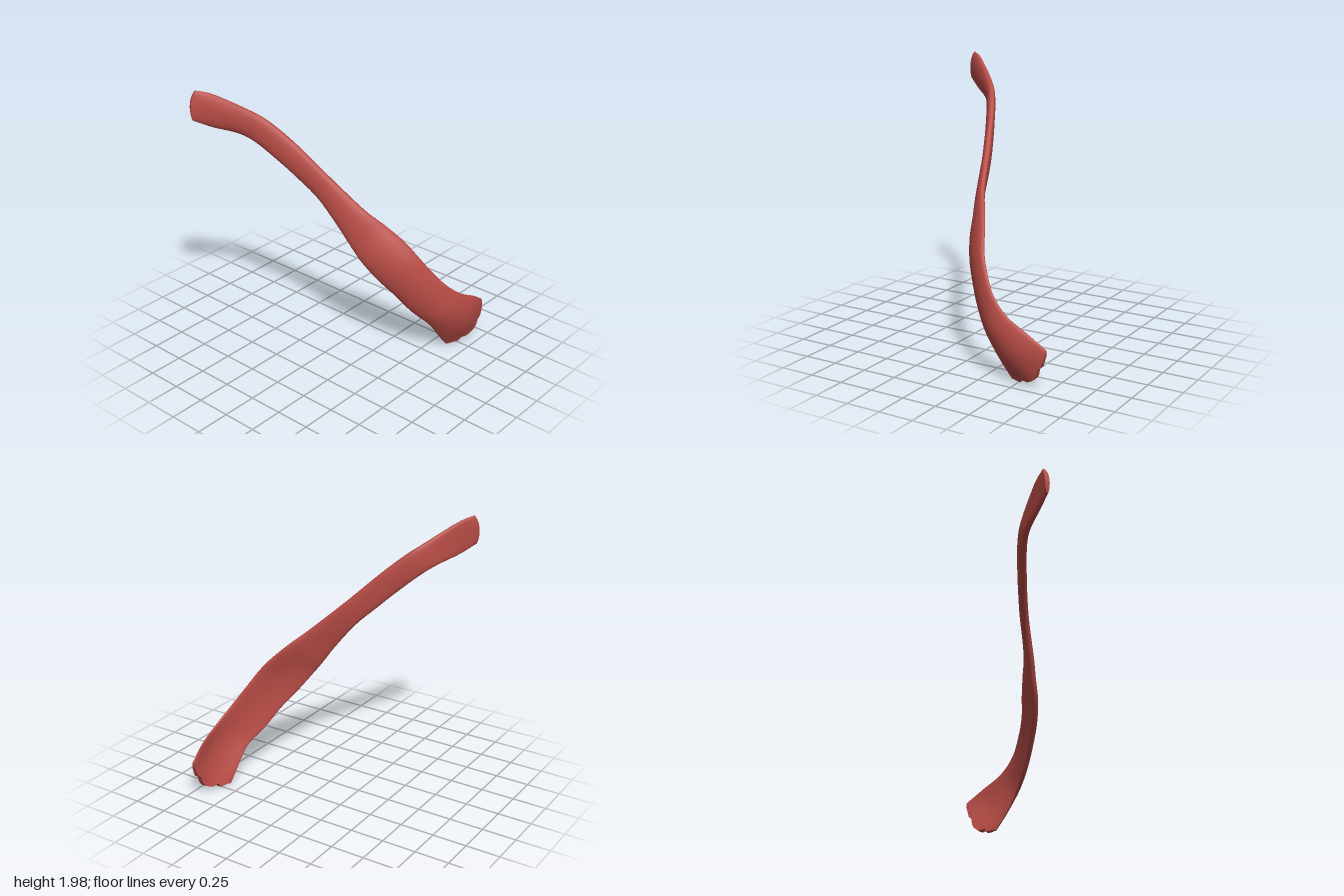
import * as THREE from 'three';

// Stations along the strap: upper edge, lower edge, [camber, half thickness, endwise bulge]
const stations = [
  [[-0.70, 2.00, -0.735], [-0.73, 1.79, -0.745], [0.0, 0.018, -0.025]],
  [[-0.60, 1.96, -0.66], [-0.62, 1.73, -0.67], [0.01, 0.026, 0]],
  [[-0.42, 1.83, -0.50], [-0.48, 1.67, -0.57], [0.008, 0.03, 0]],
  [[-0.34, 1.75, -0.40], [-0.40, 1.60, -0.48], [0.005, 0.032, 0]],
  [[-0.26, 1.62, -0.26], [-0.32, 1.47, -0.34], [0.005, 0.032, 0]],
  [[-0.20, 1.49, -0.13], [-0.26, 1.36, -0.23], [0.005, 0.032, 0]],
  [[-0.15, 1.38, -0.02], [-0.20, 1.22, -0.09], [0.005, 0.032, 0]],
  [[-0.05, 1.17, 0.20], [-0.16, 1.03, 0.06], [0.01, 0.032, 0]],
  [[0.03, 1.06, 0.32], [-0.135, 0.91, 0.14], [0.018, 0.032, 0]],
  [[0.10, 0.95, 0.43], [-0.11, 0.80, 0.22], [0.025, 0.032, 0]],
  [[0.15, 0.84, 0.52], [-0.05, 0.67, 0.31], [0.028, 0.032, 0]],
  [[0.21, 0.73, 0.585], [0.04, 0.53, 0.41], [0.03, 0.03, 0]],
  [[0.31, 0.59, 0.66], [0.13, 0.39, 0.49], [0.035, 0.028, 0]],
  [[0.44, 0.48, 0.70], [0.24, 0.26, 0.575], [0.05, 0.024, 0.01]],
  [[0.60, 0.39, 0.705], [0.34, 0.12, 0.595], [0.06, 0.022, 0.04]],
  [[0.73, 0.30, 0.69], [0.42, 0.02, 0.60], [0.035, 0.02, 0.09]],
];
const ROWS = 75, SIDES = 36;

const curveOf = k => new THREE.CatmullRomCurve3(
  stations.map(s => new THREE.Vector3(...s[k])), false, 'catmullrom', 0.5);

// Cross-section rings: a cambered lens between the two edges
function buildRings() {
  const [upper, lower, form] = [0, 1, 2].map(curveOf);
  const centre = t => upper.getPoint(t).add(lower.getPoint(t)).multiplyScalar(0.5);
  const rings = [];
  for (let i = 0; i <= ROWS; i++) {
    const t = i / ROWS;
    const mid = centre(t);
    const half = upper.getPoint(t).sub(mid);
    const along = centre(Math.min(1, t + 0.01)).sub(centre(Math.max(0, t - 0.01))).normalize();
    const normal = along.clone().cross(half).normalize();
    const { x: camber, y: thick, z: bulge } = form.getPoint(t);
    const fray = Math.max(0, t - 0.95) / 0.05;
    const ring = [];
    for (let j = 0; j < SIDES; j++) {
      const a = j / SIDES * Math.PI * 2, u = Math.cos(a), s = Math.sin(a);
      const v = Math.sign(s) * Math.pow(Math.abs(s), 0.75);
      const arch = 1 - u * u;
      // Ragged fibres toward the wide end
      const ragged = fray * arch * 0.014 * (Math.sin(u * 17) + Math.sin(u * 31 + 1));
      ring.push(mid.clone()
        .addScaledVector(half, u)
        .addScaledVector(normal, camber * arch + thick * v)
        .addScaledVector(along, bulge * arch + ragged));
    }
    rings.push(ring);
  }
  return rings;
}

function geometryFrom(points, index) {
  const g = new THREE.BufferGeometry().setFromPoints(points);
  g.setIndex(index);
  g.computeVertexNormals();
  return g;
}

function skin(rings) {
  const index = [];
  for (let i = 0; i < ROWS; i++) {
    for (let j = 0; j < SIDES; j++) {
      const k = (j + 1) % SIDES;
      const a = i * SIDES + j, b = i * SIDES + k;
      index.push(a, b, a + SIDES, b, b + SIDES, a + SIDES);
    }
  }
  return geometryFrom(rings.flat(), index);
}

// End face, strung between the front and back halves of a ring
function cap(ring, flip) {
  const index = [];
  for (let j = 0; j < SIDES / 2; j++) {
    const a = j, b = j + 1, c = SIDES - j - 1, d = (SIDES - j) % SIDES;
    for (const [p, q, r] of [[a, b, c], [a, c, d]]) {
      if (p === q || q === r || p === r) continue;
      index.push(p, flip ? r : q, flip ? q : r);
    }
  }
  return geometryFrom(ring, index);
}

export function createModel() {
  const group = new THREE.Group();
  group.name = 'muscleStrap';
  const red = new THREE.MeshStandardMaterial({ color: 0xb84c46 });
  red.name = 'muscleRed';

  const rings = buildRings();
  const add = (name, geometry) => {
    const mesh = new THREE.Mesh(geometry, red);
    mesh.name = name;
    group.add(mesh);
  };
  add('muscleBelly', skin(rings));
  add('upperEnd', cap(rings[0], true));
  add('lowerEnd', cap(rings[ROWS], false));
  return group;
}
